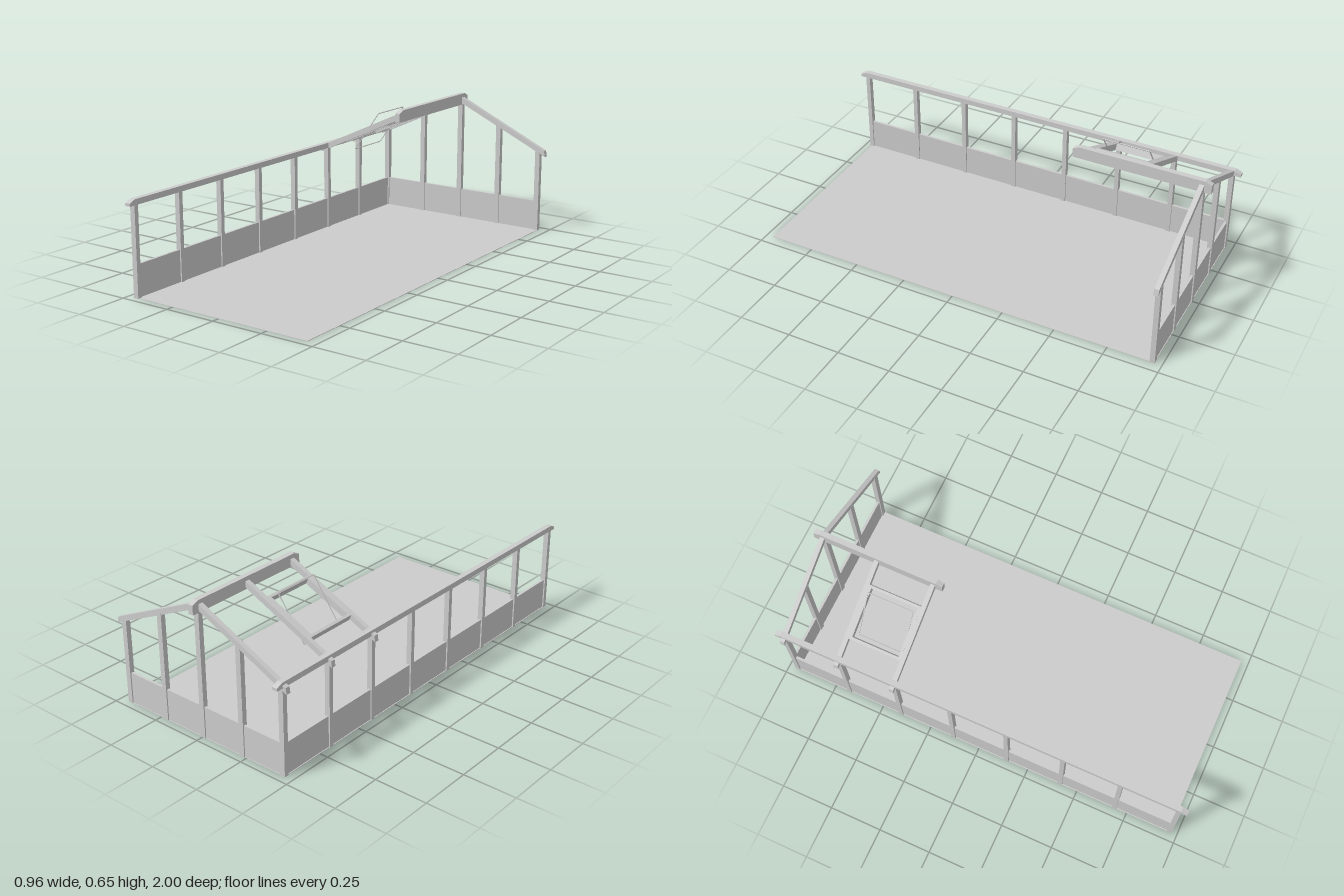
import * as THREE from 'three';

const material = new THREE.MeshStandardMaterial({ color: 0xcccccc, flatShading: true });
const RIDGE_X = -0.008, RIDGE_Y = 0.635, SLOPE = 0.465;
const POST = 0.025, BACK_Z = -0.956, WALL_X = -0.45;
const roofY = (x) => RIDGE_Y - Math.abs(x - RIDGE_X) * SLOPE;

export function createModel() {
  const model = new THREE.Group();
  model.name = 'greenhouseFrame';

  const add = (name, geometry, parent = model) => {
    const mesh = new THREE.Mesh(geometry, material);
    mesh.name = name;
    parent.add(mesh);
    return mesh;
  };

  // box given by its lower and upper limits on each axis
  const box = (name, [x0, x1], [y0, y1], [z0, z1], parent = model) => {
    const mesh = add(name, new THREE.BoxGeometry(x1 - x0, y1 - y0, z1 - z0), parent);
    mesh.position.set((x0 + x1) / 2, (y0 + y1) / 2, (z0 + z1) / 2);
    return mesh;
  };

  // outline in x and y, extruded along z
  const prism = (name, points, z0, z1) => {
    const shape = new THREE.Shape(points.map(([x, y]) => new THREE.Vector2(x, y)));
    const geometry = new THREE.ExtrudeGeometry(shape, { depth: z1 - z0, bevelEnabled: false });
    return add(name, geometry.translate(0, 0, z0));
  };

  // long beam along z with both top ends chamfered
  const beam = (name, x, width, y0, y1, z0, z1) => {
    const c = 0.013, run = 0.03;
    const shape = new THREE.Shape([
      [z0, y0], [z1, y0], [z1, y1 - c], [z1 - run, y1], [z0 + run, y1], [z0, y1 - c],
    ].map(([z, y]) => new THREE.Vector2(-z, y)));
    const geometry = new THREE.ExtrudeGeometry(shape, { depth: width, bevelEnabled: false });
    add(name, geometry.translate(0, 0, -width / 2).rotateY(Math.PI / 2).translate(x, 0, 0));
  };

  // floor and low wall panels
  box('floor', [-0.46, 0.452], [0, 0.002], [-0.965, 0.965]);
  box('sidePanel', [-0.456, -0.444], [0, 0.15], [-0.962, 0.965]);
  box('backPanel', [-0.456, 0.448], [0, 0.15], [-0.962, -0.95]);

  // posts of the long wall
  for (let i = 0; i < 7; i++) {
    const z = 0.962 - i * 0.2735;
    box('sidePost', [WALL_X - POST / 2, WALL_X + POST / 2], [0, 0.415], [z - 0.0105, z + 0.0105]);
  }

  // posts of the gable wall, cut to the roof slope
  for (let i = 0; i < 5; i++) {
    const x = WALL_X + i * 0.2228;
    const x0 = x - POST / 2, x1 = x + POST / 2;
    prism('gablePost', [[x0, 0], [x1, 0], [x1, roofY(x1) - 0.02], [x0, roofY(x0) - 0.02]],
      BACK_Z - 0.0115, BACK_Z + 0.0115);
  }

  // rafters: a pair on the gable, and two more on the right slope
  const rafter = (side, z) => {
    const a = RIDGE_X, e = side < 0 ? -0.478 : 0.476, tip = side * 0.482;
    prism('rafter', [[a, RIDGE_Y], [e, roofY(e)], [tip, roofY(tip) - 0.027], [a, RIDGE_Y - 0.03]],
      z - 0.011, z + 0.011);
  };
  rafter(1, BACK_Z);
  for (const z of [BACK_Z, -0.686, -0.41]) rafter(-1, z);

  // ridge beam and eaves beam
  beam('ridgeBeam', RIDGE_X, 0.025, 0.592, 0.648, -1, -0.365);
  beam('eavesBeam', WALL_X, 0.026, 0.41, 0.436, -1, 1);

  // roof window frame lying on the slope
  const vent = new THREE.Group();
  vent.name = 'roofWindow';
  vent.position.set(-0.231, 0.5145, -0.548);
  const frame = new THREE.Group();
  frame.name = 'windowFrame';
  frame.rotation.z = Math.atan(SLOPE);
  const L = 0.13, W = 0.127, T = 0.0155, B = 0.013;
  for (const s of [-1, 1]) {
    box('frameEnd', [s * (L - B / 2) - B / 2, s * (L - B / 2) + B / 2], [-T, T], [-W, W], frame);
    box('frameSide', [-L + B, L - B], [-T, T],
      [s * (W - B / 2) - B / 2, s * (W - B / 2) + B / 2], frame);
  }

  // thin sash rim, pivoted open about its middle
  const sash = new THREE.Group();
  sash.name = 'openSash';
  sash.position.set(-0.0025, -0.0035, 0);
  sash.rotation.z = Math.atan2(0.192, 0.137);
  const H = 0.118, R = 0.0018, Z = 0.11;
  for (const s of [-1, 1]) {
    box('sashSide', [-H, H], [-R, R], [s * Z - R, s * Z + R], sash);
    box('sashEnd', [s * H - R, s * H + R], [-R, R], [-Z, Z], sash);
  }
  vent.add(frame, sash);
  model.add(vent);

  return model;
}
